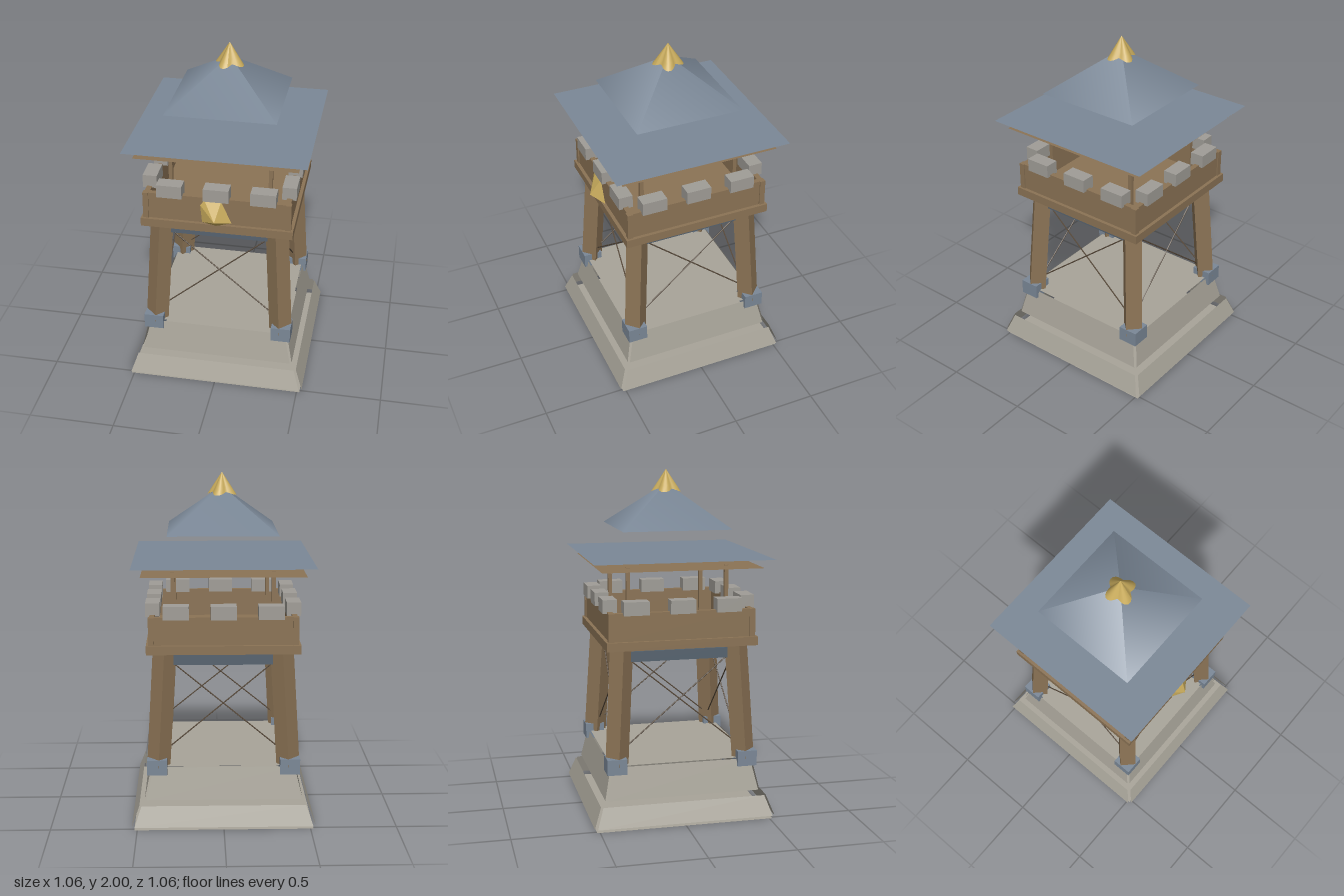
import * as THREE from 'three';

const paint = (name, color, extra = {}) => {
  const m = new THREE.MeshStandardMaterial({ color, ...extra });
  m.name = name;
  return m;
};

export function createModel() {
  const both = { side: THREE.DoubleSide };
  const stone = paint('stone', 0xa8a499, both);
  const merlonStone = paint('pale stone', 0xa09d97);
  const wood = paint('wood', 0x8b7355, both);
  const slate = paint('slate', 0x7b8897, both);
  const steel = paint('dark steel', 0x56636f);
  const rope = paint('rope', 0x57493a);
  const gold = paint('gold', 0xc8ab5c, both);

  const model = new THREE.Group();
  model.name = 'watchtower';

  const add = (name, geo, mat, x = 0, y = 0, z = 0, parent = model) => {
    const mesh = new THREE.Mesh(geo, mat);
    mesh.name = name;
    mesh.position.set(x, y, z);
    parent.add(mesh);
    return mesh;
  };
  const box = (name, mat, w, h, d, x, y, z, parent) =>
    add(name, new THREE.BoxGeometry(w, h, d), mat, x, y, z, parent);
  // Straight bar between two points
  const strut = (name, mat, a, b, r, sides) => {
    const dir = b.clone().sub(a);
    const geo = new THREE.CylinderGeometry(r, r, dir.length(), sides).toNonIndexed();
    geo.computeVertexNormals();
    const mesh = add(name, geo, mat);
    mesh.position.copy(a).add(b).multiplyScalar(0.5);
    mesh.quaternion.setFromUnitVectors(new THREE.Vector3(0, 1, 0), dir.normalize());
  };
  // Horizontal sheet, open on both sides
  const sheet = (name, mat, half, y) =>
    add(name, new THREE.PlaneGeometry(2 * half, 2 * half).rotateX(-Math.PI / 2), mat, 0, y, 0);
  // Sloping trapezoid facing +z: half width and depth at bottom and top
  const slope = (w0, d0, y0, w1, d1, y1) => {
    const g = new THREE.PlaneGeometry(2, 1);
    const p = g.attributes.position;
    for (let i = 0; i < 4; i++) {
      const top = p.getY(i) > 0;
      p.setXYZ(i, p.getX(i) * (top ? w1 : w0), top ? y1 : y0, top ? d1 : d0);
    }
    g.computeVertexNormals();
    return g;
  };

  // Stone base
  sheet('baseUnderside', stone, 0.517, 0);
  sheet('baseTop', stone, 0.41, 0.35);

  // Everything that repeats on the four sides
  for (let i = 0; i < 4; i++) {
    const side = new THREE.Group();
    side.name = 'towerSide';
    side.rotation.y = i * Math.PI / 2;
    model.add(side);
    add('lowerBaseWall', slope(0.515, 0.53, 0.02, 0.475, 0.487, 0.135), stone, 0, 0, 0, side);
    add('upperBaseWall', slope(0.447, 0.457, 0.16, 0.405, 0.418, 0.345), stone, 0, 0, 0, side);
    box('topBeam', steel, 0.57, 0.06, 0.05, 0, 0.968, 0.325, side);
    box('parapetWall', wood, 0.8, 0.16, 0.03, 0, 1.15, 0.402, side);
    box('ledge', wood, 0.874, 0.05, 0.05, 0, 1.045, 0.412, side);
    for (const x of [-0.267, 0, 0.267]) {
      box('merlon', merlonStone, 0.145, 0.077, 0.082, x, 1.258, 0.4, side);
    }
  }

  // Legs, feet, parapet corners and roof posts
  for (const sx of [-1, 1]) {
    for (const sz of [-1, 1]) {
      strut('leg', wood,
        new THREE.Vector3(sx * 0.375, 0.345, sz * 0.375),
        new THREE.Vector3(sx * 0.335, 1.03, sz * 0.335), 0.067, 4);
      box('foot', slate, 0.115, 0.09, 0.115, sx * 0.383, 0.35, sz * 0.383);
      box('parapetCorner', wood, 0.032, 0.16, 0.032, sx * 0.408, 1.15, sz * 0.408);
      box('roofPost', wood, 0.022, 0.4, 0.022, sx * 0.287, 1.268, sz * 0.287);
    }
  }

  // Crossed bracing ropes on each side
  for (let i = 0; i < 4; i++) {
    const turn = new THREE.Vector3(0, 1, 0);
    for (const s of [-1, 1]) {
      const a = new THREE.Vector3(s * 0.335, 0.43, 0.355).applyAxisAngle(turn, i * Math.PI / 2);
      const b = new THREE.Vector3(-s * 0.28, 0.94, 0.33).applyAxisAngle(turn, i * Math.PI / 2);
      strut('braceRope', rope, a, b, 0.004, 5);
    }
  }

  // Platform floor
  box('platformFloor', wood, 0.78, 0.04, 0.78, 0, 1.045, 0);

  // Emblem: faceted boss on the front wall
  const rim = [[-0.09, 1.19], [-0.065, 1.222], [0.03, 1.222], [0.088, 1.09], [0, 1.062], [-0.08, 1.08]];
  const bossPoints = [];
  rim.forEach(([x, y], i) => {
    const [nx, ny] = rim[(i + 1) % rim.length];
    bossPoints.push(0, 1.115, 0.492, nx, ny, 0.432, x, y, 0.432);
  });
  const boss = new THREE.BufferGeometry();
  boss.setAttribute('position', new THREE.Float32BufferAttribute(bossPoints, 3));
  boss.computeVertexNormals();
  add('emblem', boss, gold);

  // Roof: ceiling sheet, wide eave sheet and upper pyramid
  sheet('ceiling', wood, 0.462, 1.465);
  sheet('eaves', slate, 0.514, 1.517);
  const pyramid = new THREE.ConeGeometry(0.316 * Math.SQRT2, 0.25, 4, 1, true);
  pyramid.rotateY(Math.PI / 4);
  add('upperRoof', pyramid, slate, 0, 1.795, 0);

  // Finial: cone with four flared corners, its hem lifted between them
  const finial = new THREE.ConeGeometry(1, 1, 32, 4, true);
  const p = finial.attributes.position;
  for (let i = 0; i < p.count; i++) {
    const t = 0.5 - p.getY(i);
    const a = Math.atan2(p.getZ(i), p.getX(i));
    const corner = Math.abs(Math.cos(2 * (a - 0.36))) ** 1.5;
    const r = t * (0.055 + 0.033 * corner);
    p.setXYZ(i, r * Math.cos(a), 2 - t * (0.112 + 0.018 * corner), r * Math.sin(a));
  }
  finial.computeVertexNormals();
  add('finial', finial, gold);

  return model;
}
